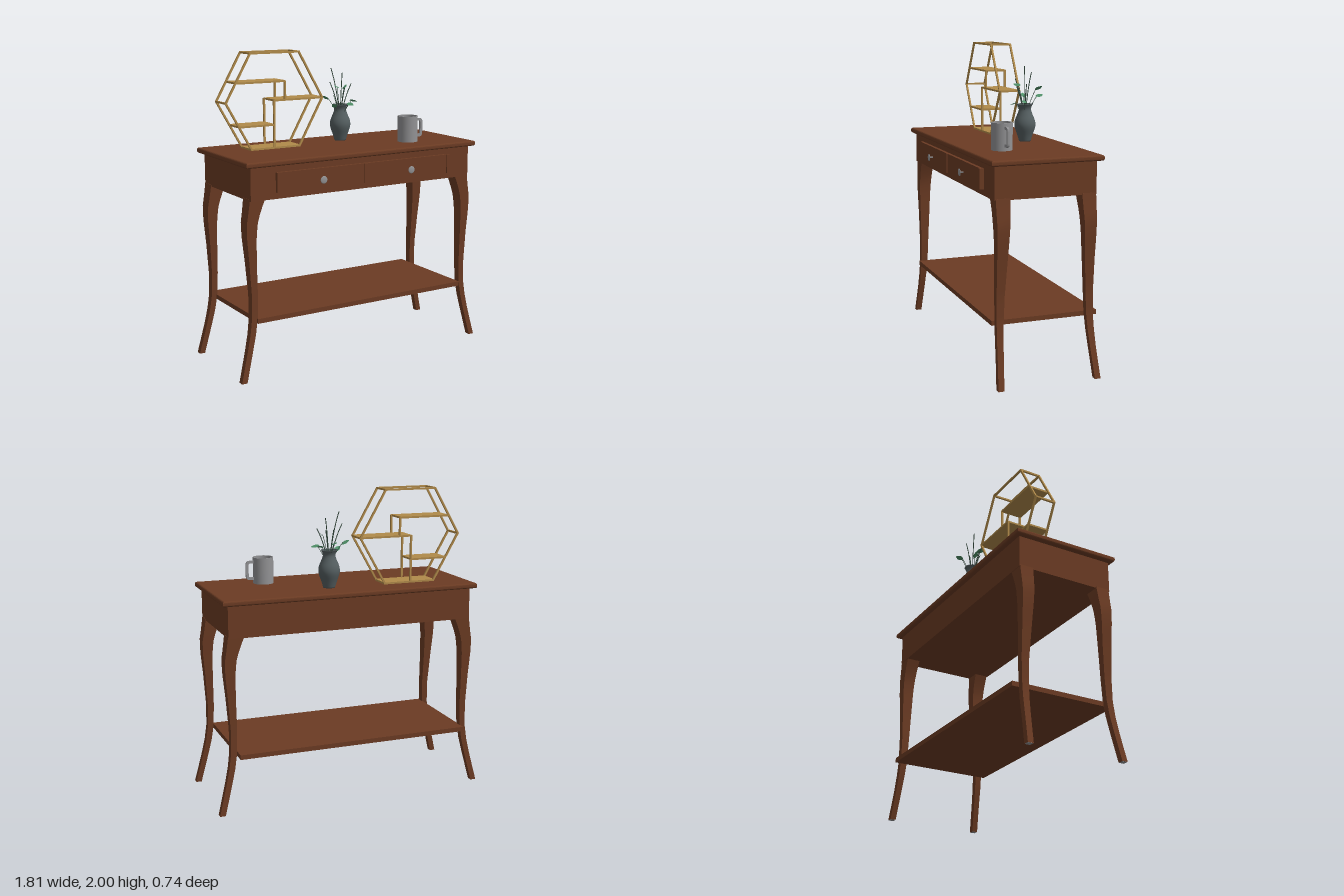
import * as THREE from 'three';

const mat = (name, color, side = THREE.FrontSide) => {
  const m = new THREE.MeshStandardMaterial({ color, side });
  m.name = name;
  return m;
};

export function createModel() {
  const wood = mat('brown wood', 0x6b3b23);
  const gold = mat('golden wood', 0xb08a4a, THREE.DoubleSide);
  const metal = mat('grey metal', 0x929294, THREE.DoubleSide);
  const clay = mat('dark vase glaze', 0x545e60, THREE.DoubleSide);
  const stemGreen = mat('dark stem green', 0x33483c);
  const leafGreen = mat('leaf green', 0x4f9068, THREE.DoubleSide);

  const model = new THREE.Group();
  model.name = 'consoleTable';
  const add = (name, geo, material, parent = model) => {
    const mesh = new THREE.Mesh(geo, material);
    mesh.name = name;
    parent.add(mesh);
    return mesh;
  };
  // box from its minimum and maximum on each axis
  const box = (name, [x0, x1], [y0, y1], [z0, z1], material, parent) => {
    const mesh = add(name, new THREE.BoxGeometry(x1 - x0, y1 - y0, z1 - z0), material, parent);
    mesh.position.set((x0 + x1) / 2, (y0 + y1) / 2, (z0 + z1) / 2);
    return mesh;
  };
  const group = (name) => {
    const g = new THREE.Group();
    g.name = name;
    model.add(g);
    return g;
  };

  // table top with a rounded edge
  const w = 0.845, d = 0.346, bevel = 0.012;
  const outline = new THREE.Shape([[-w, -d], [w, -d], [w, d], [-w, d]].map((p) => new THREE.Vector2(...p)));
  const topGeo = new THREE.ExtrudeGeometry(outline, {
    depth: 0.011, bevelThickness: bevel, bevelSize: bevel, bevelSegments: 4,
  });
  topGeo.rotateX(-Math.PI / 2).translate(0, 1.345 + bevel, -0.01);
  add('tableTop', topGeo, wood);

  // apron and lower shelf
  box('apron', [-0.82, 0.82], [1.14, 1.35], [-0.335, 0.32], wood);
  box('lowerShelf', [-0.785, 0.77], [0.37, 0.4], [-0.37, 0.32], wood);

  // curved legs: height, outer x, inner x, outer z, inner z
  const sections = [
    [0, 0.905, 0.868, 0.335, 0.297], [0.1, 0.88, 0.843, 0.328, 0.29], [0.2, 0.855, 0.818, 0.322, 0.283],
    [0.3, 0.833, 0.795, 0.318, 0.276], [0.4, 0.819, 0.78, 0.315, 0.27], [0.55, 0.817, 0.776, 0.315, 0.264],
    [0.75, 0.83, 0.78, 0.316, 0.252], [0.92, 0.845, 0.78, 0.319, 0.243], [1.0, 0.845, 0.771, 0.32, 0.238],
    [1.07, 0.833, 0.752, 0.321, 0.234], [1.15, 0.822, 0.718, 0.322, 0.23],
  ];
  const at = (y, k) => {
    const i = Math.max(1, sections.findIndex((s) => s[0] >= y - 1e-6));
    const a = sections[i - 1], b = sections[i];
    return THREE.MathUtils.lerp(a[k], b[k], (y - a[0]) / (b[0] - a[0]));
  };
  for (const sx of [-1, 1]) for (const sz of [-1, 1]) {
    const geo = new THREE.BoxGeometry(1, 1.15, 1, 1, 23, 1).translate(0, 0.575, 0);
    const p = geo.attributes.position;
    for (let i = 0; i < p.count; i++) {
      const y = THREE.MathUtils.clamp(p.getY(i), 0, 1.15);
      const xo = at(y, 1), xi = at(y, 2), zo = at(y, 3), zi = at(y, 4);
      p.setX(i, sx * (xo + xi) / 2 + p.getX(i) * (xo - xi));
      p.setZ(i, sz * (zo + zi) / 2 - 0.01 + p.getZ(i) * (zo - zi));
    }
    geo.computeVertexNormals();
    const name = (sz > 0 ? 'front' : 'back') + (sx > 0 ? 'Left' : 'Right');
    add(name + 'Leg', geo, wood);
    const pad = add(name + 'FootPad', new THREE.BoxGeometry(0.034, 0.004, 0.034), metal);
    pad.position.set(sx * 0.886, 0.001, sz * 0.316 - 0.01);
  }

  // drawers with side strips and round knobs
  for (const [x0, x1, knobX] of [[-0.65, -0.005, -0.34], [-0.005, 0.645, 0.32]]) {
    const drawer = group(knobX < 0 ? 'rightDrawer' : 'leftDrawer');
    box('drawerFront', [x0, x1 - 0.02], [1.18, 1.305], [0.31, 0.342], wood, drawer);
    box('drawerStrip', [x1 - 0.022, x1], [1.18, 1.305], [0.31, 0.349], wood, drawer);
    const knob = add('knob', new THREE.SphereGeometry(0.024, 20, 12), metal, drawer);
    knob.scale.z = 0.2;
    knob.position.set(knobX, 1.235, 0.369);
    const stem = add('knobStem', new THREE.CylinderGeometry(0.005, 0.005, 0.03, 8), metal, drawer);
    stem.rotation.x = Math.PI / 2;
    stem.position.set(knobX, 1.235, 0.352);
  }

  // hexagonal display stand: two rod frames joined by cross bars and shelves
  const stand = group('hexagonStand');
  const zf = -0.057, zb = -0.195, t = 0.012;
  const rod = (name, a, b) => {
    const va = new THREE.Vector3(...a), vb = new THREE.Vector3(...b);
    const mesh = add(name, new THREE.BoxGeometry(t, t, va.distanceTo(vb) + t * 0.6), gold, stand);
    mesh.position.copy(va).lerp(vb, 0.5);
    mesh.lookAt(vb);
  };
  const hex = [[-0.62, 1.992], [-0.272, 1.992], [-0.1, 1.69], [-0.272, 1.387], [-0.62, 1.387], [-0.793, 1.69]];
  hex.forEach((a, i) => {
    const b = hex[(i + 1) % 6];
    for (const z of [zf, zb]) rod('frameRod', [...a, z], [...b, z]);
    rod('crossBar', [...a, zf], [...a, zb]);
  });
  for (const [x0, x1, y] of [[-0.72, -0.375, 1.81], [-0.455, -0.1, 1.69], [-0.705, -0.455, 1.535], [-0.62, -0.272, 1.387]])
    box('standShelf', [x0, x1], [y - 0.006, y + 0.006], [zb - 0.005, zf + 0.005], gold, stand);
  for (const [x, y0, y1] of [[-0.375, 1.69, 1.81], [-0.455, 1.387, 1.69]])
    for (const z of [zf, zb]) rod('standPost', [x, y0, z], [x, y1, z]);

  // vase, hollow with a flared rim
  const plant = group('vaseWithBranches');
  plant.position.set(0.1, 1.38, -0.157);
  const vaseCurve = new THREE.SplineCurve([
    [0.038, 0], [0.05, 0.04], [0.068, 0.095], [0.066, 0.135], [0.05, 0.175], [0.04, 0.205], [0.043, 0.225], [0.053, 0.243],
  ].map((p) => new THREE.Vector2(...p)));
  const vaseProfile = [new THREE.Vector2(0, 0), ...vaseCurve.getPoints(24),
    new THREE.Vector2(0.046, 0.243), new THREE.Vector2(0.034, 0.205), new THREE.Vector2(0.05, 0.15), new THREE.Vector2(0, 0.1)];
  add('vase', new THREE.LatheGeometry(vaseProfile, 28), clay, plant);

  // branches, as tips relative to the vase foot
  const branch = (tip, r) => {
    const curve = new THREE.QuadraticBezierCurve3(new THREE.Vector3(0, 0.12, 0),
      new THREE.Vector3(tip[0] * 0.3, tip[1] * 0.72, tip[2] * 0.3), new THREE.Vector3(...tip));
    add('branch', new THREE.TubeGeometry(curve, 10, r, 5), stemGreen, plant);
  };
  for (const tip of [[-0.06, 0.485, -0.02], [0.035, 0.45, -0.03], [0.075, 0.38, 0.02], [-0.1, 0.4, 0.03], [0.0, 0.36, 0.06]])
    branch(tip, 0.003);

  // pointed leaves on fine stalks
  const leafShape = new THREE.Shape();
  leafShape.moveTo(0, -0.028);
  leafShape.quadraticCurveTo(0.034, -0.004, 0, 0.03);
  leafShape.quadraticCurveTo(-0.034, -0.004, 0, -0.028);
  const leafGeo = new THREE.ShapeGeometry(leafShape, 6).rotateX(-Math.PI / 2);
  const leaves = [[-0.1, 0.29, -0.028], [-0.05, 0.365, 0.035], [0.025, 0.25, 0.087], [0.075, 0.35, -0.063],
    [0, 0.295, -0.1], [0.08, 0.265, 0.037], [-0.07, 0.24, 0.04]];
  leaves.forEach(([x, y, z], i) => {
    branch([x * 0.85, y, z * 0.85], 0.0018);
    const leaf = add('leaf', leafGeo, leafGreen, plant);
    leaf.position.set(x, y, z);
    leaf.rotation.set(0.5 - (i % 3) * 0.35, Math.atan2(-x, -z), i % 2 ? 0.45 : -0.45, 'YXZ');
  });

  // mug with a flat loop handle
  const mug = group('mug');
  mug.position.set(0.45, 1.38, 0.135);
  const wall = [[0, 0.002], [0.067, 0.002], [0.067, 0.002], [0.067, 0.173], [0.067, 0.173], [0.061, 0.173],
    [0.061, 0.173], [0.061, 0.012], [0.061, 0.012], [0, 0.012]].map((p) => new THREE.Vector2(...p));
  for (let i = 0; i < wall.length; i += 2)
    add('mugWall', new THREE.LatheGeometry(wall.slice(i, i + 2), 32), metal, mug);
  const loop = (x0, x1, y0, y1, r, Type) => {
    const s = new Type();
    s.moveTo(x0, y0);
    s.lineTo(x1 - r, y0);
    s.quadraticCurveTo(x1, y0, x1, y0 + r);
    s.lineTo(x1, y1 - r);
    s.quadraticCurveTo(x1, y1, x1 - r, y1);
    s.lineTo(x0, y1);
    s.closePath();
    return s;
  };
  const handleShape = loop(0.064, 0.117, 0.027, 0.152, 0.025, THREE.Shape);
  handleShape.holes.push(loop(0.065, 0.1, 0.045, 0.135, 0.012, THREE.Path));
  const handleGeo = new THREE.ExtrudeGeometry(handleShape, { depth: 0.014, bevelEnabled: false, curveSegments: 6 });
  add('mugHandle', handleGeo.translate(0, 0, -0.007), metal, mug);

  return model;
}
